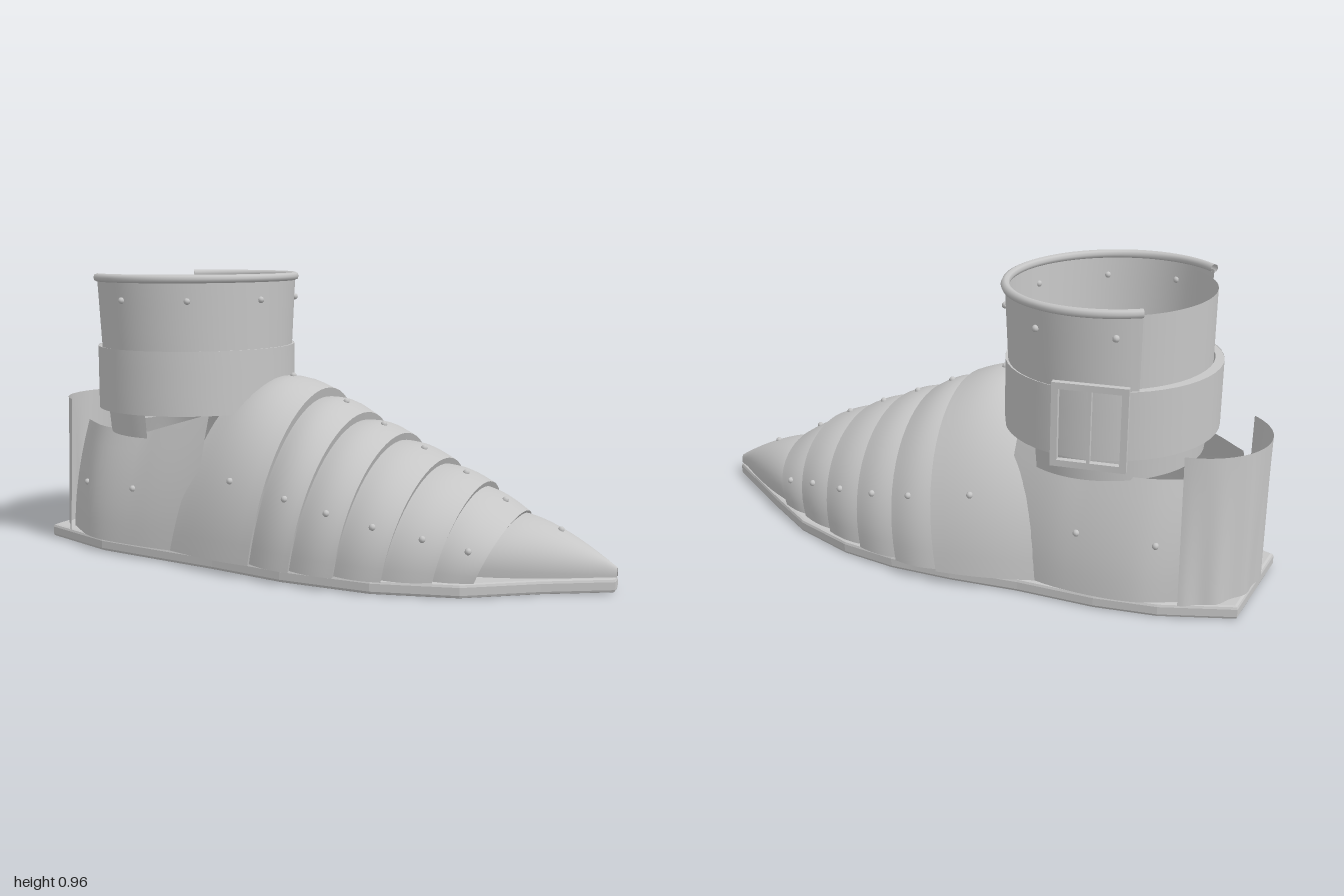
import * as THREE from 'three';

const steel = new THREE.MeshStandardMaterial({ color: 0xc6c6c6, side: THREE.DoubleSide });
steel.name = 'steel';

// Sheet surface from a rule p(u, v) -> [x, y, z]
function sheet(name, nu, nv, p) {
  const pos = [], idx = [];
  for (let j = 0; j <= nv; j++) for (let i = 0; i <= nu; i++) pos.push(...p(i / nu, j / nv));
  for (let j = 0; j < nv; j++) for (let i = 0; i < nu; i++) {
    const a = j * (nu + 1) + i, b = a + nu + 1;
    idx.push(a, a + 1, b, a + 1, b + 1, b);
  }
  const g = new THREE.BufferGeometry();
  g.setAttribute('position', new THREE.Float32BufferAttribute(pos, 3));
  g.setIndex(idx);
  g.computeVertexNormals();
  return mesh(name, g);
}
function mesh(name, g) {
  const m = new THREE.Mesh(g, steel);
  m.name = name;
  return m;
}

const lerp = THREE.MathUtils.lerp;
const BASE = 0.045, TILT = 0.21;

// Arched cross-section, square to the slanting foot axis
function arch(s, cx, w, top, lean, a) {
  const c = Math.cos(a) * w, h = Math.pow(Math.max(0, Math.sin(a)), 0.92), f = lean * (h - 1);
  return [cx + c * 0.978 + f * TILT, BASE + (top - BASE) * h, s - c * TILT + f];
}

// Seams between the overlapping foot plates: z, centre x, half width, top, lean
const seams = [
  [-0.27, -0.05, 0.325, 0.545, 0.11],
  [0.00, 0.035, 0.405, 0.575, 0.08],
  [0.14, 0.055, 0.41, 0.50, 0.07],
  [0.28, 0.075, 0.395, 0.44, 0.06],
  [0.43, 0.095, 0.36, 0.37, 0.06],
  [0.57, 0.125, 0.30, 0.305, 0.06],
  [0.69, 0.155, 0.25, 0.22, 0.07],
];

export function createModel() {
  const model = new THREE.Group();
  model.name = 'armouredBoot';
  const add = (...m) => model.add(...m);
  const rivetGeo = new THREE.SphereGeometry(0.011, 8, 6);
  const rivet = (p) => {
    const r = mesh('rivet', rivetGeo);
    r.position.set(...p);
    add(r);
  };

  // Pointed sole
  const outline = [[0, -0.995], [0.14, -0.8], [0.22, -0.62], [0.29, -0.38], [0.37, -0.17], [0.43, 0.03],
    [0.455, 0.22], [0.435, 0.45], [0.37, 0.65], [0.31, 0.82], [0.25, 0.99], [0.21, 1], [0.05, 0.83],
    [-0.14, 0.66], [-0.27, 0.42], [-0.34, 0.12], [-0.36, -0.15], [-0.39, -0.4], [-0.415, -0.62], [-0.38, -0.92]];
  const soleGeo = new THREE.ExtrudeGeometry(
    new THREE.Shape(outline.map(([x, z]) => new THREE.Vector2(x, -z))),
    { depth: 0.025, bevelThickness: 0.01, bevelSize: 0.01, bevelOffset: -0.01, bevelSegments: 2 });
  soleGeo.rotateX(-Math.PI / 2).translate(0, 0.01, 0);
  add(mesh('sole', soleGeo));

  // Foot plates, each stepping down under the one behind, with a turned-in front lip
  for (let i = 0; i < seams.length - 1; i++) {
    const A = seams[i], B = seams[i + 1], tuck = i ? 0.94 : 1, crown = i ? 0.035 : 0.1;
    const plate = (u, v) => {
      const k = lerp(tuck, 1, v), swell = Math.sin(Math.PI * v);
      const [s, cx, w, top, lean] = A.map((a, n) => lerp(a, B[n], v));
      return arch(s + 0.015 * v, cx, w * k * (1 + 0.035 * swell),
        BASE + (top - BASE) * k * (1 + crown * swell), lean, Math.PI * u);
    };
    const lip = (u, v) => {
      const k = 1 - 0.075 * v;
      return arch(B[0] + 0.015 - 0.01 * v, B[1], B[2] * k, BASE + (B[3] - BASE) * k, B[4], Math.PI * u);
    };
    add(sheet('footPlate', 32, 8, plate), sheet('footPlateLip', 32, 1, lip));
    for (const u of [0.14, 0.5, 0.86]) rivet(plate(u, 0.6));
  }

  // Toe cap drawn to a point
  const toe = (u, v) => {
    const k = Math.max(0.04, 1 - Math.pow(v, 1.4));
    return arch(lerp(0.67, 0.995, v), lerp(0.18, 0.235, v), 0.21 * k,
      lerp(0.21, 0.075, Math.pow(v, 1.6)), lerp(0.09, 0, v), Math.PI * u);
  };
  add(sheet('toeCap', 24, 10, toe));
  rivet(toe(0.5, 0.45));

  // Side plates beside the ankle, rising at the front to meet the shaft
  const sides = [
    [[0.265, -0.3], [0.25, -0.52], [0.18, -0.73], [0.08, -0.85]],
    [[-0.37, -0.22], [-0.415, -0.45], [-0.425, -0.66], [-0.345, -0.84]],
  ];
  sides.forEach((pts, n) => {
    const curve = new THREE.CatmullRomCurve3(pts.map(([x, z]) => new THREE.Vector3(x, 0, z)));
    const side = (u, v) => {
      const p = curve.getPoint(u), top = lerp(0.5, 0.425, Math.min(1, u / 0.35));
      return [p.x + (n ? 1 : -1) * 0.08 * Math.pow(v, 1.8), lerp(BASE, top, v), p.z];
    };
    add(sheet('anklePlate', 20, 6, side));
    rivet(side(0.38, 0.5));
    rivet(side(0.78, 0.48));
  });

  // Heel cup, fluted towards its base
  add(sheet('heelCup', 48, 8, (u, v) => {
    const a = lerp(0.42, Math.PI - 0.42, u);
    const flute = 1 + 0.02 * (1 - v) * Math.cos(a * 14);
    return [-0.145 + Math.cos(a) * lerp(0.275, 0.235, v) * flute, lerp(BASE, 0.51, v),
      -0.72 - Math.sin(a) * 0.25 * flute - 0.03 * (1 - v) * Math.cos(a)];
  }));

  // Shaft bands: angle 0 is the front, PI the back
  const ring = (a, y, rx, rz) => [-0.085 + Math.sin(a) * rx, y, -0.465 + Math.cos(a) * rz];
  const band = (name, a0, a1, y0, y1, r0, r1) => add(sheet(name, 48, 3, (u, v) =>
    ring(lerp(a0, a1, u), lerp(y0, y1, v), lerp(r0[0], r1[0], v), lerp(r0[1], r1[1], v))));
  const START = -2.05, END = 2.42;
  band('shaftFront', START, END, 0.7, 0.94, [0.35, 0.32], [0.365, 0.33]);
  band('shaftBack', 2.2, 2 * Math.PI - 1.9, 0.7, 0.93, [0.335, 0.295], [0.335, 0.295]);
  band('ankleBand', 0, 2 * Math.PI, 0.497, 0.71, [0.355, 0.332], [0.355, 0.332]);
  band('ankleBandTop', 0, 2 * Math.PI, 0.709, 0.71, [0.355, 0.332], [0.34, 0.3]);
  band('lowerBand', 1.35, 2 * Math.PI - 1.35, 0.415, 0.5, [0.32, 0.285], [0.33, 0.29]);

  // Rolled rim, open at the back
  const rimPts = [];
  for (let i = 0; i <= 32; i++) rimPts.push(new THREE.Vector3(...ring(lerp(START, END, i / 32), 0.945, 0.365, 0.328)));
  add(mesh('rim', new THREE.TubeGeometry(new THREE.CatmullRomCurve3(rimPts), 64, 0.014, 8)));
  for (const a of [-1.55, -0.85, -0.1, 0.68, 1.45, 2.2]) rivet(ring(a, 0.873, 0.363, 0.329));

  // Buckle frame with a centre pin
  const buckle = new THREE.Group();
  buckle.name = 'buckle';
  const bar = (h, d, y, z) => {
    const b = mesh('buckleBar', new THREE.BoxGeometry(0.02, h, d));
    b.position.set(0, y, z);
    buckle.add(b);
  };
  for (const s of [-1, 1]) {
    bar(0.26, 0.02, 0, s * 0.103);
    bar(0.02, 0.226, s * 0.12, 0);
  }
  bar(0.23, 0.01, 0, 0);
  buckle.position.set(0.255, 0.608, -0.61);
  buckle.rotation.y = 0.4;
  add(buckle);

  return model;
}
